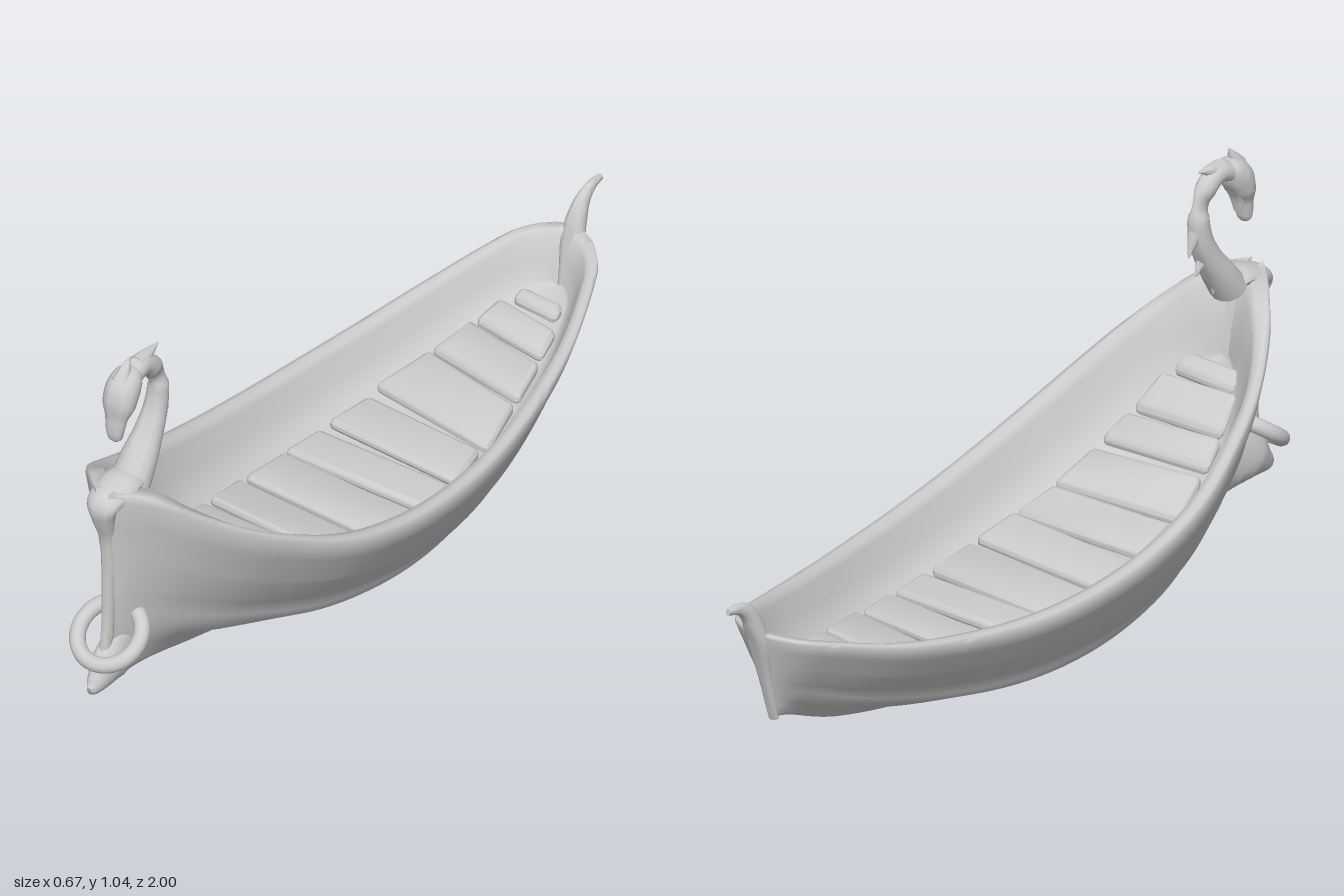
import * as THREE from 'three';
import { toCreasedNormals } from 'three/addons/utils/BufferGeometryUtils.js';
import { RoundedBoxGeometry } from 'three/addons/geometries/RoundedBoxGeometry.js';

const mat = new THREE.MeshStandardMaterial({ color: 0xcccccc, side: THREE.DoubleSide });

// Smooth function through [x, y] points (x rising).
function smoothFn(p) {
  const slope = (i) => {
    const a = p[Math.max(i - 1, 0)], b = p[Math.min(i + 1, p.length - 1)];
    return (b[1] - a[1]) / (b[0] - a[0]);
  };
  return (x) => {
    let i = 0;
    while (i < p.length - 2 && x > p[i + 1][0]) i++;
    const h = p[i + 1][0] - p[i][0];
    const t = THREE.MathUtils.clamp((x - p[i][0]) / h, 0, 1), s = 1 - t;
    return p[i][1] * s * s * (1 + 2 * t) + p[i + 1][1] * t * t * (3 - 2 * t)
      + h * t * s * (slope(i) * s - slope(i + 1) * t);
  };
}

// Skin over closed rings of [x, y, z].
function loft(rings, caps, crease) {
  const n = rings[0].length, pos = rings.flat(2), idx = [];
  for (let i = 0; i < rings.length - 1; i++) {
    for (let j = 0; j < n; j++) {
      const k = (j + 1) % n, a = i * n + j, b = i * n + k;
      idx.push(a, b, a + n, b, b + n, a + n);
    }
  }
  if (caps) {
    const last = (rings.length - 1) * n;
    for (let j = 1; j < n - 1; j++) idx.push(0, j + 1, j, last, last + j, last + j + 1);
  }
  const g = new THREE.BufferGeometry();
  g.setAttribute('position', new THREE.Float32BufferAttribute(pos, 3));
  g.setIndex(idx);
  return toCreasedNormals(g, crease);
}

// Tapered oval tube in the centre plane; points are [z, y, half width, half depth].
function taper(pts, steps = 28, sides = 14) {
  const path = new THREE.CatmullRomCurve3(pts.map((p) => new THREE.Vector3(0, p[1], p[0])));
  const size = new THREE.CatmullRomCurve3(pts.map((p) => new THREE.Vector3(p[2], p[3], 0)));
  const rings = [];
  for (let i = 0; i <= steps; i++) {
    const c = path.getPoint(i / steps), t = path.getTangent(i / steps), r = size.getPoint(i / steps);
    rings.push(Array.from({ length: sides }, (_, j) => {
      const q = (j / sides) * Math.PI * 2, s = Math.sin(q) * r.y;
      return [Math.cos(q) * r.x, c.y + t.z * s, c.z - t.y * s];
    }));
  }
  return loft(rings, true, 0.9);
}

// Hull lines along z
const beam = smoothFn([[-0.9, 0.02], [-0.885, 0.06], [-0.85, 0.105], [-0.8, 0.14], [-0.6, 0.222], [-0.4, 0.275],
  [-0.2, 0.313], [0, 0.332], [0.2, 0.335], [0.4, 0.318], [0.6, 0.267], [0.7, 0.226], [0.8, 0.163], [0.87, 0.1],
  [0.91, 0.058], [0.94, 0.02]]);
const sheer = smoothFn([[-0.9, 0.425], [-0.8, 0.4], [-0.6, 0.345], [-0.4, 0.312], [-0.2, 0.297], [0, 0.303],
  [0.2, 0.332], [0.4, 0.39], [0.6, 0.488], [0.7, 0.55], [0.8, 0.622], [0.87, 0.675], [0.94, 0.695]]);
const keel = smoothFn([[-0.9, 0.18], [-0.8, 0.16], [-0.6, 0.09], [-0.4, 0.04], [-0.2, 0.01], [0, 0.002],
  [0.2, 0.012], [0.4, 0.035], [0.6, 0.08], [0.8, 0.13], [0.94, 0.135]]);
const bowEnd = smoothFn([[0, 0.97], [0.08, 0.965], [0.18, 0.94], [0.6, 0.93], [1, 0.95]]);
// The floor climbs towards the bow
const floorRise = (z) => 0.15 * Math.min(1, Math.max(0, (z - 0.3) / 0.45)) ** 2;

// Cross-section: [x amidships, height, x at the ends, inside] as shares of beam and depth
const section = [
  [0, 0, 0], [0.05, 0.04, 0.1], [0.19, 0.12, 0.13], [0.5, 0.18, 0.18], [0.73, 0.28, 0.27],
  [0.755, 0.34, 0.34], [0.79, 0.45, 0.46], [0.86, 0.475, 0.5], [0.9, 0.62, 0.65], [0.95, 0.65, 0.69],
  [0.965, 0.83, 0.86], [1, 0.86, 0.9], [1, 0.98, 1], [0.985, 1.015, 0.98], [0.94, 1.025, 0.91],
  [0.885, 1.01, 0.82, 0.6], [0.86, 0.95, 0.77, 0.85], [0.8, 0.78, 0.66, 1], [0.7, 0.58, 0.5, 1], [0.62, 0.55, 0.42, 1],
];

function hullRings() {
  const rings = [], N = 80;
  for (let i = 0; i <= N; i++) {
    const zn = 0.02 + 0.92 * Math.sin((i / N - 0.5) * Math.PI);
    const w = Math.abs((zn - 0.02) / 0.92) ** 2;
    const wb = Math.max(0, (zn - 0.6) / 0.34) ** 2, ws = Math.max(0, (-zn - 0.6) / 0.3) ** 2;
    const half = section.map(([mid, v, end, inside = 0]) => {
      const z = zn + (bowEnd(v) - 0.94 - inside * 0.1) * wb + ((1 - Math.min(v, 1)) * 0.07 + inside * 0.04) * ws;
      const low = inside && v < 0.9, zy = low ? z : zn, k = keel(zy);
      const h = low ? v + floorRise(zy) * (v < 0.6 ? 1 : 0.5) : v;
      const x = Math.max(beam(zn) * THREE.MathUtils.lerp(mid, end, w), inside || !v ? 0.003 : 0.011);
      return [x, k + (sheer(zy) - k) * h, z];
    });
    rings.push([...half, ...half.map(([x, y, z]) => [-x, y, z]).reverse()]);
  }
  return rings;
}

export function createModel() {
  const model = new THREE.Group();
  const add = (name, geo, parent = model) => {
    const m = new THREE.Mesh(geo, mat);
    m.name = name;
    parent.add(m);
    return m;
  };

  add('hull', loft(hullRings(), false, 1.3));

  // Deck boards: [z, half width, depth, skew], bent to the floor
  const floorY = (z) => keel(z) + (sheer(z) - keel(z)) * (0.555 + floorRise(z));
  const boards = [[-0.75, 0.065, 0.04, 0.03], [-0.67, 0.1, 0.08, 0.1], [-0.56, 0.13, 0.12, 0.12],
    [-0.41, 0.165, 0.16, 0.12], [-0.24, 0.185, 0.13, 0.03], [-0.09, 0.2, 0.12, -0.03], [0.06, 0.205, 0.15, 0.02],
    [0.22, 0.205, 0.13, 0.03], [0.36, 0.187, 0.12, -0.04], [0.49, 0.172, 0.12, -0.08], [0.61, 0.15, 0.075, -0.06],
    [0.7, 0.125, 0.085, -0.04], [0.775, 0.09, 0.05, 0]];
  const deck = new THREE.Group();
  deck.name = 'deckBoards';
  model.add(deck);
  for (const [z, hw, d, skew] of boards) {
    const g = new RoundedBoxGeometry(2 * hw, 0.034, d, 4, 0.016);
    const p = g.attributes.position;
    for (let i = 0; i < p.count; i++) {
      const lz = p.getZ(i), wz = z + lz + p.getX(i) * skew;
      const x = p.getX(i) * (1 - Math.sign(z - 0.1) * lz * Math.min(Math.abs(z - 0.1), 0.6) * 3);
      p.setXYZ(i, x + 0.004, floorY(wz) + p.getY(i) + 0.006, wz);
    }
    g.computeVertexNormals();
    add('deckBoard', toCreasedNormals(g, 0.8), deck);
  }

  // Bow post, ram and stern post
  add('bowPost', taper([[0.945, 0.2, 0.012, 0.015], [0.928, 0.3, 0.015, 0.018], [0.925, 0.45, 0.016, 0.018],
    [0.928, 0.57, 0.02, 0.022], [0.945, 0.635, 0.032, 0.026], [0.948, 0.668, 0.044, 0.026],
    [0.905, 0.69, 0.052, 0.024], [0.86, 0.698, 0.05, 0.022], [0.81, 0.675, 0.036, 0.014]], 40));
  add('ram', taper([[0.78, 0.2, 0.01, 0.05], [0.86, 0.215, 0.03, 0.076], [0.92, 0.196, 0.038, 0.062],
    [0.955, 0.173, 0.03, 0.04], [0.985, 0.156, 0.018, 0.022], [0.999, 0.152, 0.008, 0.012]]));
  add('sternPost', taper([[-0.83, 0.175, 0.014, 0.01], [-0.862, 0.3, 0.02, 0.014], [-0.888, 0.4, 0.032, 0.02],
    [-0.904, 0.45, 0.026, 0.024], [-0.927, 0.492, 0.018, 0.021], [-0.96, 0.515, 0.012, 0.015],
    [-0.998, 0.52, 0.007, 0.009]]));

  // Carved figurehead: curved neck, head, lower jaw, horns and crest
  const figure = new THREE.Group();
  figure.name = 'figurehead';
  model.add(figure);
  add('neck', taper([[0.84, 0.68, 0.052, 0.045], [0.805, 0.73, 0.047, 0.04], [0.768, 0.785, 0.037, 0.033],
    [0.74, 0.845, 0.03, 0.029], [0.732, 0.905, 0.026, 0.028], [0.754, 0.965, 0.026, 0.028],
    [0.8, 0.998, 0.028, 0.028], [0.85, 0.985, 0.032, 0.026]], 40), figure);
  add('head', taper([[0.82, 1.0, 0.022, 0.018], [0.845, 0.99, 0.038, 0.032], [0.869, 0.965, 0.044, 0.04],
    [0.884, 0.93, 0.043, 0.034], [0.894, 0.895, 0.03, 0.021], [0.899, 0.86, 0.024, 0.018],
    [0.899, 0.842, 0.02, 0.014], [0.898, 0.833, 0.01, 0.007]]), figure);
  add('jaw', taper([[0.86, 0.94, 0.03, 0.018], [0.872, 0.905, 0.022, 0.012], [0.877, 0.865, 0.012, 0.006]], 10, 10), figure);
  const spikes = [['horn', 0.875, 0.99, 0.843, 1.045, 0.024], ['crest', 0.81, 1.005, 0.732, 1.024, 0.024],
    ['backSpike', 0.73, 0.885, 0.694, 0.81, 0.024], ['neckSpike', 0.765, 0.81, 0.72, 0.75, 0.024],
    ['baseSpike', 0.8, 0.745, 0.785, 0.678, 0.028]];
  for (const [name, z0, y0, z1, y1, r] of spikes) {
    add(name, taper([[z0, y0, r, r], [(z0 + z1) / 2, (y0 + y1) / 2, r * 0.6, r * 0.6], [z1, y1, 0.002, 0.002]], 8, 10), figure);
  }

  // Mooring ring, open at the top where it enters the bow
  const ring = new THREE.Group();
  ring.name = 'mooringRing';
  model.add(ring);
  const gap = 0.55, R = 0.083, r = 0.02;
  const torus = add('ringBar', new THREE.TorusGeometry(R, r, 14, 48, Math.PI * 2 - 2 * gap), ring);
  torus.rotation.z = Math.PI / 2 + gap;
  for (const s of [-1, 1]) {
    add('ringEnd', new THREE.SphereGeometry(r, 14, 10), ring)
      .position.set(s * R * Math.sin(gap), R * Math.cos(gap), 0);
  }
  ring.position.set(0, 0.278, 0.92);
  ring.rotation.x = -0.92;
  return model;
}
